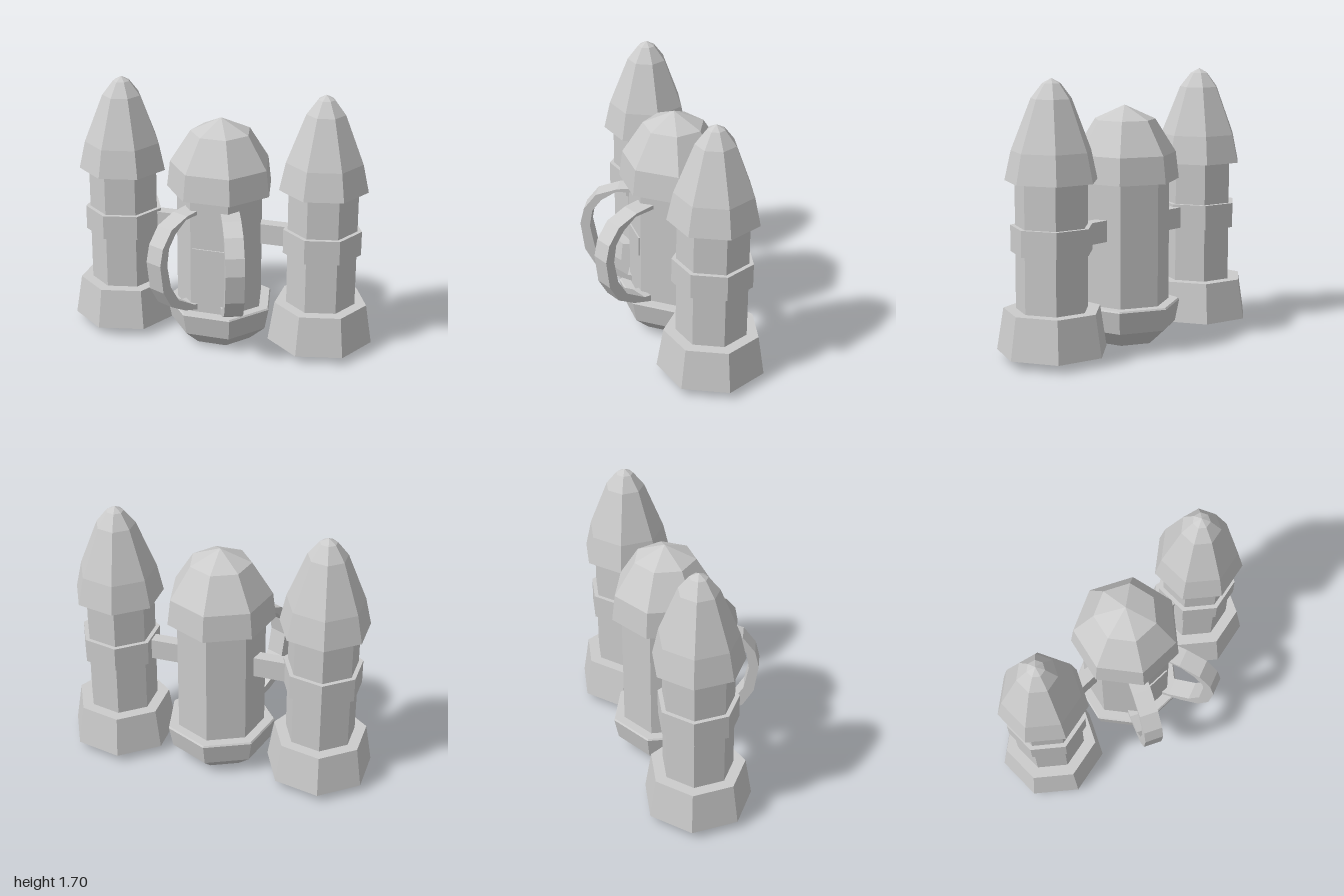
import * as THREE from 'three';

const material = new THREE.MeshStandardMaterial({ color: 0xcccccc, flatShading: true });

function addMesh(parent, geometry, name, x = 0, y = 0, z = 0) {
  const mesh = new THREE.Mesh(geometry, material);
  mesh.name = name;
  mesh.position.set(x, y, z);
  parent.add(mesh);
  return mesh;
}

// Seven-sided turned body; profile is [radius, height] from inside the bottom up to the tip
function turned(profile, startAngle) {
  const points = profile.map(([r, y]) => new THREE.Vector2(r, y));
  return new THREE.LatheGeometry(points, 7, startAngle);
}

// Flat curved band, outline in (reach, height), centred on its width
function handleGeometry(width) {
  const outline = [
    [-0.07, 0.96], [0.08, 0.945], [0.22, 0.895], [0.3, 0.79], [0.326, 0.68],
    [0.3, 0.49], [0.23, 0.37], [0.105, 0.3], [-0.03, 0.26],
    [-0.03, 0.305], [0.02, 0.31], [0.164, 0.395], [0.234, 0.51], [0.264, 0.665],
    [0.245, 0.78], [0.185, 0.86], [0.09, 0.925], [-0.07, 0.93],
  ].map(([s, y]) => new THREE.Vector2(s, y));
  const geometry = new THREE.ExtrudeGeometry(new THREE.Shape(outline), {
    depth: width, bevelEnabled: false,
  });
  return geometry.translate(0, 0, -width / 2);
}

export function createModel() {
  const group = new THREE.Group();

  // Side rockets: hollow nozzle, tube with clamp ring, pointed nose
  const rocket = turned([
    [0, 0.36], [0.14, 0.36], [0.25, 0.05],
    [0.345, 0.05], [0.303, 0.31], [0.226, 0.31],
    [0.226, 0.66], [0.255, 0.66], [0.255, 0.82], [0.226, 0.82],
    [0.226, 1.09], [0.287, 1.09], [0.247, 1.27],
    [0.125, 1.58], [0.055, 1.67], [0, 1.7],
  ], Math.PI / 2);
  addMesh(group, rocket, 'rightRocket', -0.69, 0, -0.147);
  addMesh(group, rocket, 'leftRocket', 0.655, 0, -0.147);

  // Central tank: hollow foot, cylinder body, domed cap
  const tank = turned([
    [0, 0.13], [0.17, 0.13], [0.205, 0],
    [0.22, 0], [0.33, 0.1], [0.358, 0.24], [0.35, 0.25], [0.287, 0.25],
    [0.287, 1.03], [0.349, 1.03], [0.328, 1.2], [0.196, 1.41], [0, 1.5],
  ], Math.PI);
  addMesh(group, tank, 'centralTank', -0.01, 0, -0.112);

  // Small plate on the front of the tank
  addMesh(group, new THREE.BoxGeometry(0.215, 0.13, 0.03), 'frontPlate', -0.012, 0.63, 0.141);

  // Struts joining the rockets to the tank
  const strut = new THREE.BoxGeometry(0.27, 0.135, 0.08);
  addMesh(group, strut, 'rightStrut', -0.375, 0.735, -0.155);
  addMesh(group, strut, 'leftStrut', 0.35, 0.735, -0.155);

  // Shoulder straps splayed outwards from the front
  const handle = handleGeometry(0.12);
  for (const [name, x, z, degrees] of [
    ['rightStrap', -0.147, 0.13, -25],
    ['leftStrap', 0.133, 0.15, 22],
  ]) {
    const strap = addMesh(group, handle, name, x, 0, z);
    strap.rotation.y = THREE.MathUtils.degToRad(degrees - 90);
  }

  return group;
}
